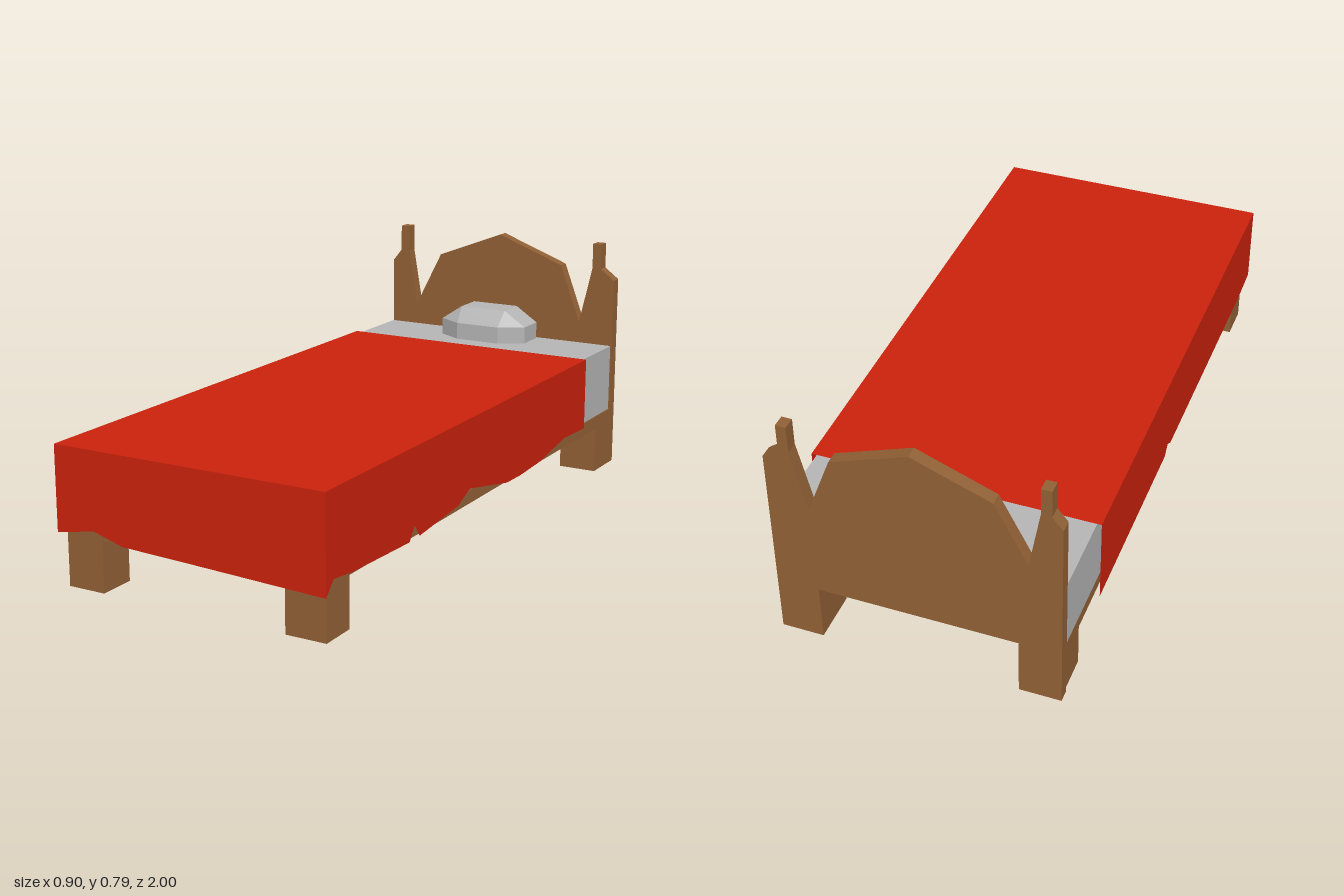
import * as THREE from 'three';
import { ConvexGeometry } from 'three/addons/geometries/ConvexGeometry.js';

function material(name, color, extra = {}) {
  const m = new THREE.MeshStandardMaterial({ color, ...extra });
  m.name = name;
  return m;
}

// Open cloth: a flat top with a hanging skirt that follows an uneven hem of [x, y, z] points
function drapeGeometry(hem, top) {
  const pos = [];
  const lift = ([x, , z]) => [x, top, z];
  for (let i = 0; i < hem.length - 1; i++) {
    const a = hem[i], b = hem[i + 1];
    pos.push(...a, ...b, ...lift(b), ...a, ...lift(b), ...lift(a));
  }
  const W = 0.452, back = -0.71, front = 1;
  const c = [[-W, top, back], [-W, top, front], [W, top, front], [W, top, back]];
  pos.push(...c[0], ...c[1], ...c[2], ...c[0], ...c[2], ...c[3]);
  const geo = new THREE.BufferGeometry();
  geo.setAttribute('position', new THREE.Float32BufferAttribute(pos, 3));
  geo.computeVertexNormals();
  return geo;
}

export function createModel() {
  const group = new THREE.Group();
  const wood = material('brown wood', 0x926136);
  const linen = material('grey linen', 0xb6b6b6);
  const red = material('red cloth', 0xcc220d, { side: THREE.DoubleSide });

  const add = (name, geo, mat) => {
    const mesh = new THREE.Mesh(geo, mat);
    mesh.name = name;
    group.add(mesh);
    return mesh;
  };
  const box = (name, mat, [x0, x1], [y0, y1], [z0, z1]) =>
    add(name, new THREE.BoxGeometry(x1 - x0, y1 - y0, z1 - z0), mat)
      .position.set((x0 + x1) / 2, (y0 + y1) / 2, (z0 + z1) / 2);

  // Headboard with two posts, a peaked centre and feet
  const outline = [
    [-0.437, 0], [-0.307, 0], [-0.307, 0.19], [0.31, 0.19], [0.31, 0], [0.442, 0],
    [0.442, 0.663], [0.392, 0.7], [0.392, 0.787], [0.36, 0.787], [0.36, 0.7],
    [0.315, 0.503], [0.24, 0.7], [0, 0.79], [-0.24, 0.697], [-0.338, 0.503],
    [-0.373, 0.7], [-0.373, 0.79], [-0.405, 0.79], [-0.405, 0.7], [-0.437, 0.66],
  ];
  const shape = new THREE.Shape(outline.map(([x, y]) => new THREE.Vector2(x, y)));
  add('headboard', new THREE.ExtrudeGeometry(shape, { depth: 0.04, bevelEnabled: false }), wood)
    .position.z = -1;

  // Base and legs
  box('bedBase', wood, [-0.436, 0.441], [0.157, 0.2], [-0.96, 0.975]);
  for (const [end, z] of [['front', [0.86, 0.98]], ['back', [-0.96, -0.84]]]) {
    box(end + 'RightLeg', wood, [-0.432, -0.307], [0, 0.19], z);
    box(end + 'LeftLeg', wood, [0.31, 0.441], [0, 0.19], z);
  }

  box('mattress', linen, [-0.437, 0.437], [0.2, 0.429], [-0.96, 0.975]);

  // Faceted pillow: two wide octagons below a smaller flat top
  const plan = [
    [-0.17, -0.945], [-0.17, -0.845], [-0.085, -0.795], [0.075, -0.795],
    [0.157, -0.845], [0.157, -0.945], [0.13, -0.96], [-0.14, -0.96],
  ];
  const points = [];
  for (const [x, z] of plan) {
    points.push(new THREE.Vector3(x, 0.425, z), new THREE.Vector3(x, 0.487, z));
  }
  for (const x of [-0.09, 0.08]) {
    for (const z of [-0.94, -0.84]) points.push(new THREE.Vector3(x, 0.54, z));
  }
  add('pillow', new ConvexGeometry(points), linen);

  // Blanket hem as [along, height]: right side, foot, then left side
  const rightHem = [[-0.71, 0.15], [-0.05, 0.15], [-0.02, 0.18], [0.01, 0.16], [0.86, 0.155], [1, 0.168]];
  const footHem = [[-0.32, 0.192], [-0.22, 0.163], [0, 0.155]];
  const leftHem = [
    [1, 0.137], [0.96, 0.18], [0.86, 0.168], [0.54, 0.155], [0.51, 0.197], [0.48, 0.157], [0.24, 0.178],
    [0.16, 0.212], [-0.1, 0.16], [-0.2, 0.158], [-0.36, 0.165], [-0.54, 0.197], [-0.71, 0.19],
  ];
  const hem = [
    ...rightHem.map(([z, y]) => [-0.452, y, z]),
    ...footHem.map(([x, y]) => [x, y, 1]),
    ...leftHem.map(([z, y]) => [0.452, y, z]),
  ];
  add('blanket', drapeGeometry(hem, 0.433), red);

  return group;
}
